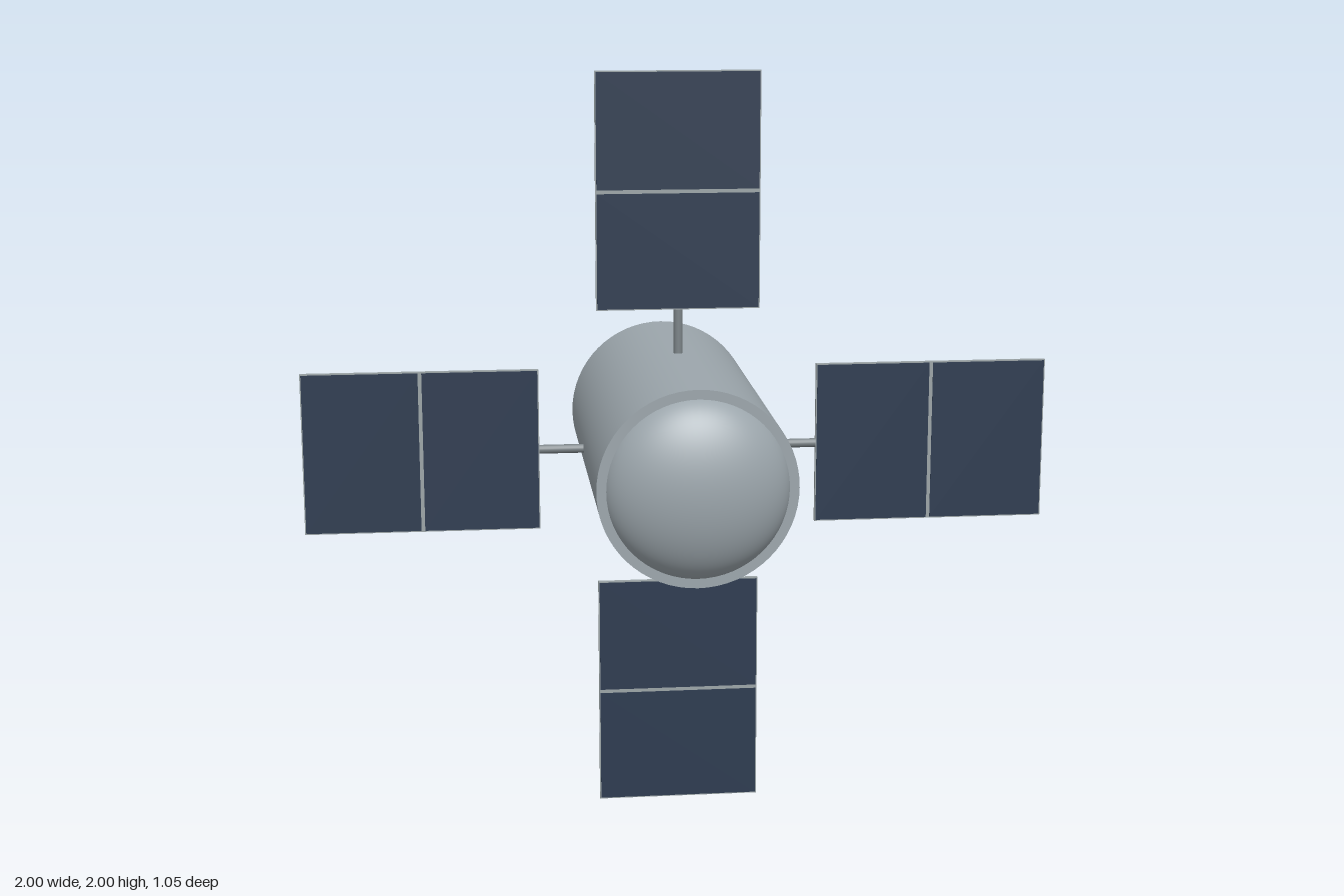
import * as THREE from 'three';

const hull = new THREE.MeshStandardMaterial({ name: 'hull grey', color: 0x9ca6ac });
const frame = new THREE.MeshStandardMaterial({ name: 'panel frame grey', color: 0x9ca5a7 });
const strutGrey = new THREE.MeshStandardMaterial({ name: 'strut grey', color: 0x7c8488 });
const cellBlue = new THREE.MeshStandardMaterial({ name: 'solar cell blue', color: 0x2d3b50 });

const CENTRE_Y = 1;
const PANEL_Z = -0.05;
const BODY_R = 0.255, BODY_BACK = -0.527, BODY_FRONT = 0.432;
const PANEL_IN = 0.373, PANEL_OUT = 1, PANEL_W = 0.436, PANEL_T = 0.012;

function add(parent, name, geometry, material, x = 0, y = 0, z = 0) {
  const mesh = new THREE.Mesh(geometry, material);
  mesh.name = name;
  mesh.position.set(x, y, z);
  parent.add(mesh);
  return mesh;
}

// One strut and solar panel, reaching outward along +x
function createWing(name, angle) {
  const wing = new THREE.Group();
  wing.name = name;
  const length = PANEL_OUT - PANEL_IN;
  const middle = (PANEL_OUT + PANEL_IN) / 2;

  const strutStart = 0.22;
  const strut = add(wing, 'strut',
    new THREE.CylinderGeometry(0.012, 0.012, PANEL_IN - strutStart, 16),
    strutGrey, (PANEL_IN + strutStart) / 2);
  strut.rotation.z = Math.PI / 2;

  add(wing, 'panelFrame', new THREE.BoxGeometry(length, PANEL_W, PANEL_T), frame, middle);

  // Two thin cell plates, leaving a bright rim and centre seam
  const rim = 0.003, seam = 0.01;
  const cellLength = (length - seam) / 2 - rim;
  for (const side of [-1, 1]) {
    add(wing, 'solarCells',
      new THREE.BoxGeometry(cellLength, PANEL_W - 2 * rim, 0.002), cellBlue,
      middle + side * (seam + cellLength) / 2, 0, PANEL_T / 2 + 0.0005);
  }

  wing.rotation.z = angle;
  wing.position.set(0, CENTRE_Y, PANEL_Z);
  return wing;
}

export function createModel() {
  const model = new THREE.Group();
  model.name = 'satellite';

  // Cylindrical body along z
  const body = add(model, 'body',
    new THREE.CylinderGeometry(BODY_R, BODY_R, BODY_FRONT - BODY_BACK, 64),
    hull, 0, CENTRE_Y, (BODY_FRONT + BODY_BACK) / 2);
  body.rotation.x = Math.PI / 2;

  // Shallow front dome, an ellipsoid cap sunk into the body
  const domeGeometry = new THREE.SphereGeometry(1, 64, 24, 0, Math.PI * 2, 0, Math.PI * 0.42);
  domeGeometry.scale(0.238, 0.127, 0.238);
  const dome = add(model, 'dome', domeGeometry, hull, 0, CENTRE_Y, 0.4);
  dome.rotation.x = Math.PI / 2;

  // Four wings in a cross
  ['leftWing', 'topWing', 'rightWing', 'bottomWing'].forEach((name, i) => {
    model.add(createWing(name, i * Math.PI / 2));
  });

  return model;
}
